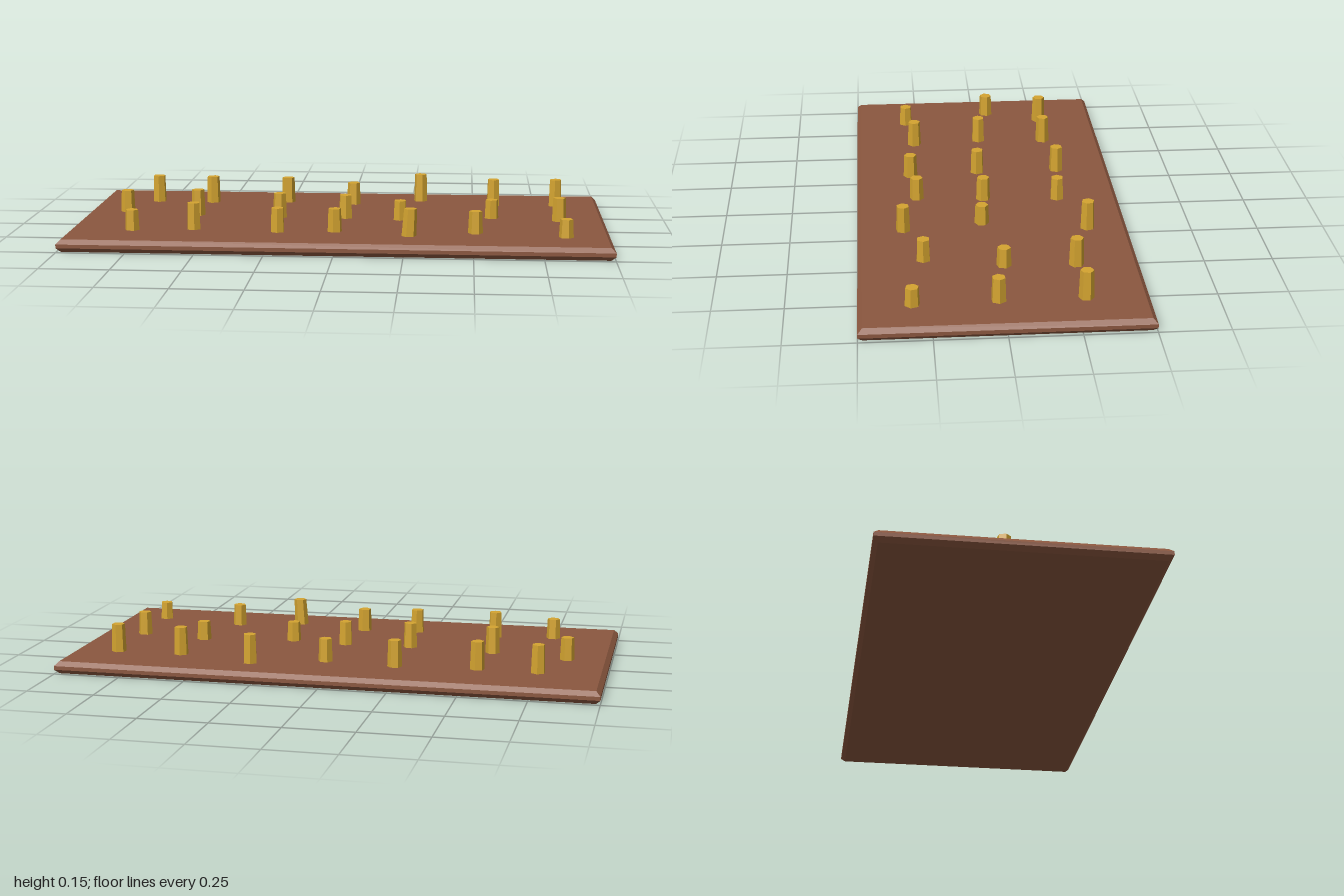
import * as THREE from 'three';

export function createModel() {
  const model = new THREE.Group();
  model.name = 'studdedBoard';

  const brown = new THREE.MeshStandardMaterial({ color: 0x8b573f });
  brown.name = 'earth brown';
  const gold = new THREE.MeshStandardMaterial({ color: 0xd4a430 });
  gold.name = 'straw gold';

  // Slab with chamfered upper and lower edges
  const bevel = 0.016, height = 0.046;
  const w = 1 - bevel, d = 0.5 - bevel;
  const outline = new THREE.Shape([
    new THREE.Vector2(-w, -d), new THREE.Vector2(w, -d),
    new THREE.Vector2(w, d), new THREE.Vector2(-w, d),
  ]);
  const slabGeometry = new THREE.ExtrudeGeometry(outline, {
    depth: height - 2 * bevel, bevelSize: bevel, bevelThickness: bevel, bevelSegments: 1,
  });
  slabGeometry.rotateX(-Math.PI / 2).translate(0, bevel, 0);
  const slab = new THREE.Mesh(slabGeometry, brown);
  slab.name = 'slab';
  model.add(slab);

  // Faceted, slightly tapered stalks in three loose rows: x, z, top height, sideways lean
  const stalks = [
    [-0.76, -0.27, 0.15], [-0.54, -0.265, 0.15], [-0.24, -0.29, 0.145], [0.025, -0.265, 0.132],
    [0.29, -0.35, 0.154], [0.58, -0.275, 0.15], [0.825, -0.28, 0.151],
    [-0.845, -0.05, 0.13], [-0.56, 0, 0.145], [-0.24, 0.025, 0.14], [0.012, 0.018, 0.135],
    [0.222, 0.037, 0.12], [0.57, -0.018, 0.117], [0.825, 0.02, 0.135],
    [-0.76, 0.295, 0.122], [-0.535, 0.265, 0.145], [-0.22, 0.29, 0.135], [-0.01, 0.272, 0.132],
    [0.265, 0.331, 0.147, 0.006], [0.507, 0.265, 0.128], [0.835, 0.314, 0.113],
  ];
  const rows = new THREE.Group();
  rows.name = 'stalks';
  stalks.forEach(([x, z, top, lean = 0], i) => {
    const base = height - 0.006, h = top - base;
    const geometry = new THREE.CylinderGeometry(0.024, 0.0275, h, 6).toNonIndexed();
    geometry.rotateY(i * 1.9).translate(0, h / 2, 0);
    // Shear the leaning stalk so its top stays level
    const p = geometry.attributes.position;
    for (let k = 0; k < p.count; k++) p.setX(k, p.getX(k) + lean * p.getY(k) / h);
    geometry.computeVertexNormals();
    const stalk = new THREE.Mesh(geometry, gold);
    stalk.name = 'stalk' + (i + 1);
    stalk.position.set(x, base, z);
    rows.add(stalk);
  });
  model.add(rows);

  return model;
}
